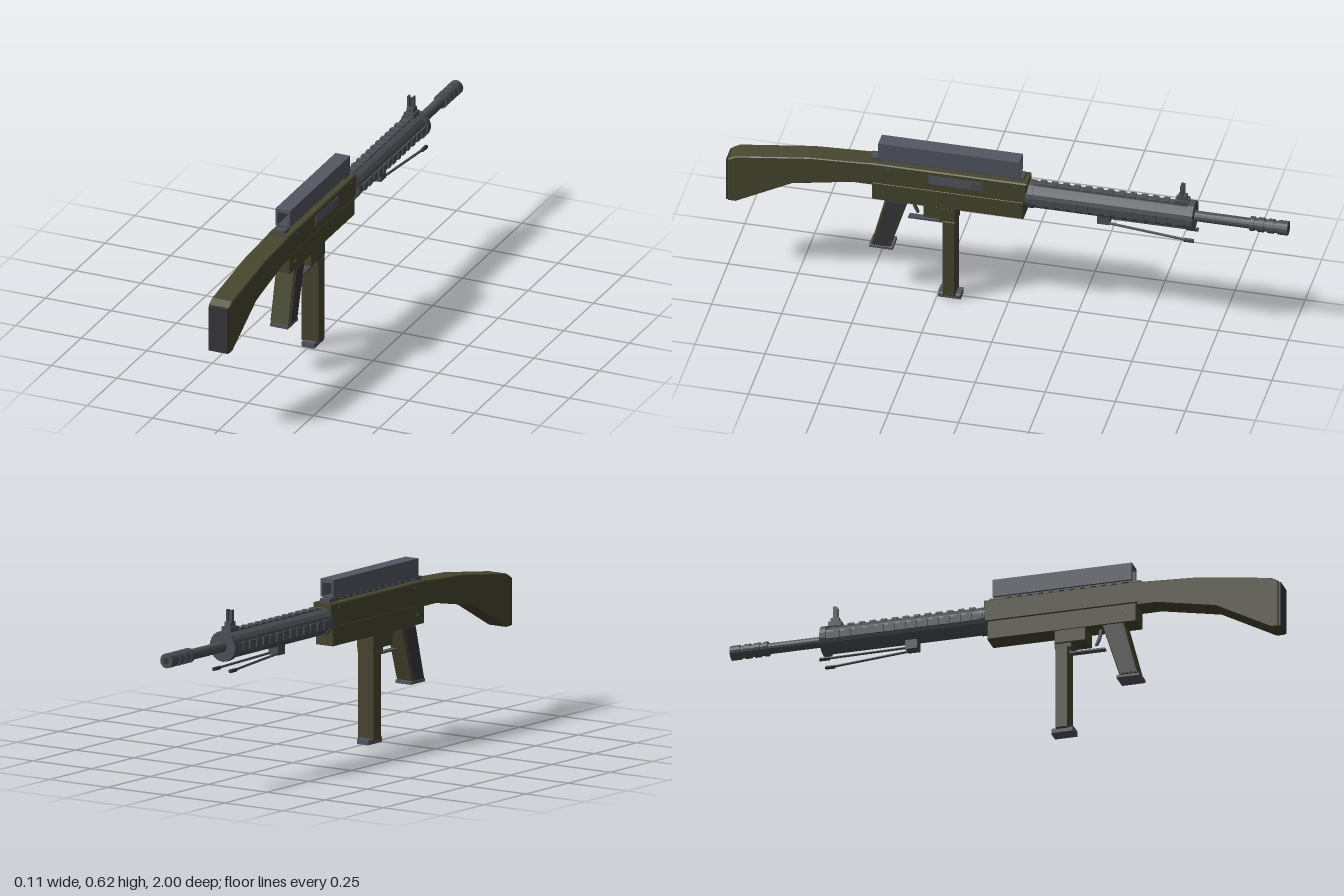
import * as THREE from 'three';

const mat = (name, color) => {
  const m = new THREE.MeshStandardMaterial({ color });
  m.name = name;
  return m;
};

export function createModel() {
  const root = new THREE.Group();
  root.name = 'rifle';
  const olive = mat('olive', 0x47462f);
  const steel = mat('steel', 0x4c5156);
  const slate = mat('slate', 0x555764);
  const dark = mat('charcoal', 0x37373a);

  const add = (name, geo, m) => {
    const g = geo.index ? geo.toNonIndexed() : geo;
    g.computeVertexNormals();
    const mesh = new THREE.Mesh(g, m);
    mesh.name = name;
    root.add(mesh);
    return mesh;
  };
  // Box given by its ranges in x, y and z
  const box = (name, m, [x0, x1], [y0, y1], [z0, z1]) =>
    add(name, new THREE.BoxGeometry(x1 - x0, y1 - y0, Math.abs(z1 - z0)), m)
      .position.set((x0 + x1) / 2, (y0 + y1) / 2, (z0 + z1) / 2);
  // Side outline of [z, y] points, extruded across x with chamfered edges
  const slab = (name, m, pts, width, bevel = 0, x = 0) => {
    const shape = new THREE.Shape(pts.map(([z, y]) => new THREE.Vector2(-z, y)));
    const geo = new THREE.ExtrudeGeometry(shape, {
      depth: width - 2 * bevel, bevelEnabled: bevel > 0, bevelSegments: 1,
      bevelSize: bevel, bevelOffset: -bevel, bevelThickness: bevel,
    });
    geo.translate(0, 0, bevel - width / 2).rotateY(Math.PI / 2);
    add(name, geo, m).position.x = x;
  };
  const rect = (z0, z1, y0, y1) => [[z0, y0], [z1, y0], [z1, y1], [z0, y1]];
  // Cylinder along z
  const rod = (name, m, r, z0, z1, y, sides = 16, x = 0) =>
    add(name, new THREE.CylinderGeometry(r, r, Math.abs(z1 - z0), sides).rotateX(Math.PI / 2), m)
      .position.set(x, y, (z0 + z1) / 2);

  // Shoulder stock and butt pad
  slab('stock', olive, [[0.992, 0.298], [0.965, 0.298], [0.765, 0.405], [0.55, 0.446], [0.48, 0.446],
    [0.48, 0.535], [0.7, 0.524], [0.965, 0.487], [0.992, 0.472]], 0.079, 0.003);
  box('buttPad', dark, [-0.036, 0.036], [0.3, 0.467], [0.99, 1.0]);

  // Receiver halves
  slab('upperReceiver', olive, rect(0.495, -0.075, 0.455, 0.537), 0.08, 0.004);
  slab('lowerReceiver', olive, rect(0.478, -0.062, 0.386, 0.457), 0.077, 0.003);
  box('ejectionPort', slate, [0.038, 0.0415], [0.485, 0.52], [0.08, 0.275]);
  box('bolt', steel, [0.039, 0.0425], [0.49, 0.515], [0.085, 0.125]);
  for (const s of [-1, 1]) {
    for (const [z, y] of [[0.42, 0.52], [-0.03, 0.52], [0.44, 0.42]]) {
      const pin = add('receiverPin', new THREE.CylinderGeometry(0.006, 0.006, 0.004, 8).rotateZ(Math.PI / 2), steel);
      pin.position.set(s * 0.0395, y, z);
    }
  }

  // Rail and hollow sight housing on top of the receiver
  box('topRail', steel, [-0.013, 0.013], [0.535, 0.544], [-0.05, 0.47]);
  for (let i = 0; i < 12; i++) {
    const z = 0.42 - i * 0.038;
    box('topRailTooth', steel, [-0.019, 0.019], [0.542, 0.55], [z - 0.02, z]);
  }
  for (const [z0, z1] of [[0.445, 0.487], [-0.06, -0.015]]) {
    box('sightMount', steel, [-0.02, 0.02], [0.535, 0.55], [z0, z1]);
  }
  box('housingRoof', slate, [-0.028, 0.028], [0.604, 0.617], [-0.046, 0.458]);
  for (const s of [-1, 1]) {
    box('housingWall', slate, s < 0 ? [-0.028, -0.019] : [0.019, 0.028], [0.553, 0.604], [-0.046, 0.458]);
  }
  box('housingFloor', steel, [-0.019, 0.019], [0.549, 0.557], [-0.046, 0.458]);

  // Handguard with collars and ribbed rails
  const cy = 0.474;
  rod('handguard', steel, 0.047, -0.07, -0.655, cy, 18);
  rod('rearCollar', steel, 0.05, -0.078, -0.095, cy, 18);
  rod('frontCollar', steel, 0.054, -0.645, -0.667, cy, 18);
  const rails = [['top', 0], ['left', -Math.PI / 2], ['right', Math.PI / 2]];
  for (const [side, angle] of rails) {
    const pivot = new THREE.Group();
    pivot.name = side + 'HandguardRail';
    pivot.position.y = cy;
    pivot.rotation.z = angle;
    root.add(pivot);
    const strip = new THREE.Mesh(new THREE.BoxGeometry(0.024, 0.012, 0.55), steel);
    strip.name = 'railStrip';
    strip.position.set(0, 0.043, -0.365);
    pivot.add(strip);
    for (let i = 0; i < 13; i++) {
      const tooth = new THREE.Mesh(new THREE.BoxGeometry(0.03, 0.007, 0.022), steel);
      tooth.name = 'railTooth';
      tooth.position.set(0, 0.0505, -0.125 - i * 0.04);
      pivot.add(tooth);
    }
  }

  // Barrel and ported muzzle brake
  rod('barrel', steel, 0.019, -0.65, -0.88, cy, 16);
  rod('muzzleBrake', steel, 0.022, -0.865, -1.0, cy, 16);
  for (const [z0, z1] of [[-0.865, -0.88], [-0.893, -0.915], [-0.928, -0.95], [-0.965, -1.0]]) {
    rod('brakeRing', steel, 0.026, z0, z1, cy, 16);
  }
  rod('bore', dark, 0.012, -0.99, -1.0005, cy, 12);

  // Front sight
  box('sightBase', steel, [-0.019, 0.019], [0.522, 0.54], [-0.645, -0.598]);
  box('sightBlock', steel, [-0.013, 0.013], [0.54, 0.556], [-0.638, -0.607]);
  for (const s of [-1, 1]) {
    box('sightEar', steel, s < 0 ? [-0.013, -0.006] : [0.006, 0.013], [0.556, 0.598], [-0.629, -0.615]);
  }
  box('sightPost', steel, [-0.0025, 0.0025], [0.556, 0.592], [-0.625, -0.619]);

  // Folded bipod
  box('bipodBracket', steel, [-0.02, 0.02], [0.398, 0.432], [-0.365, -0.322]);
  for (const s of [-1, 1]) {
    const pts = [[0.014, 0.405, -0.34], [0.036, 0.391, -0.66]].map(([x, y, z]) => new THREE.Vector3(s * x, y, z));
    add('bipodLeg', new THREE.TubeGeometry(new THREE.LineCurve3(...pts), 1, 0.0045, 8), steel);
    rod('bipodFoot', dark, 0.007, -0.635, -0.67, 0.391, 8, s * 0.035);
  }

  // Magazine well, magazine and floor plate
  slab('magazineWell', olive, rect(0.295, 0.18, 0.338, 0.39), 0.074, 0.003);
  slab('magazineCollar', olive, rect(0.24, 0.18, 0.322, 0.34), 0.066);
  slab('magazine', olive, rect(0.228, 0.183, 0.016, 0.33), 0.07, 0.003);
  slab('magazineBase', slate, rect(0.246, 0.165, 0, 0.02), 0.052, 0.003);

  // Pistol grip with dark side panels
  slab('grip', olive, [[0.432, 0.39], [0.484, 0.188], [0.415, 0.188], [0.352, 0.39]], 0.072, 0.004);
  for (const s of [-1, 1]) {
    slab('gripPanel', dark, [[0.425, 0.384], [0.476, 0.194], [0.42, 0.194], [0.361, 0.384]], 0.005, 0, s * 0.036);
  }
  slab('gripBase', slate, rect(0.489, 0.405, 0.178, 0.19), 0.07, 0.002);

  // Trigger and guard
  box('triggerGuard', steel, [-0.012, 0.012], [0.307, 0.313], [0.22, 0.355]);
  box('guardPost', steel, [-0.012, 0.012], [0.307, 0.34], [0.225, 0.232]);
  slab('trigger', steel, [[0.345, 0.39], [0.335, 0.39], [0.328, 0.355], [0.318, 0.33], [0.326, 0.33], [0.338, 0.355]], 0.012);
  return root;
}
